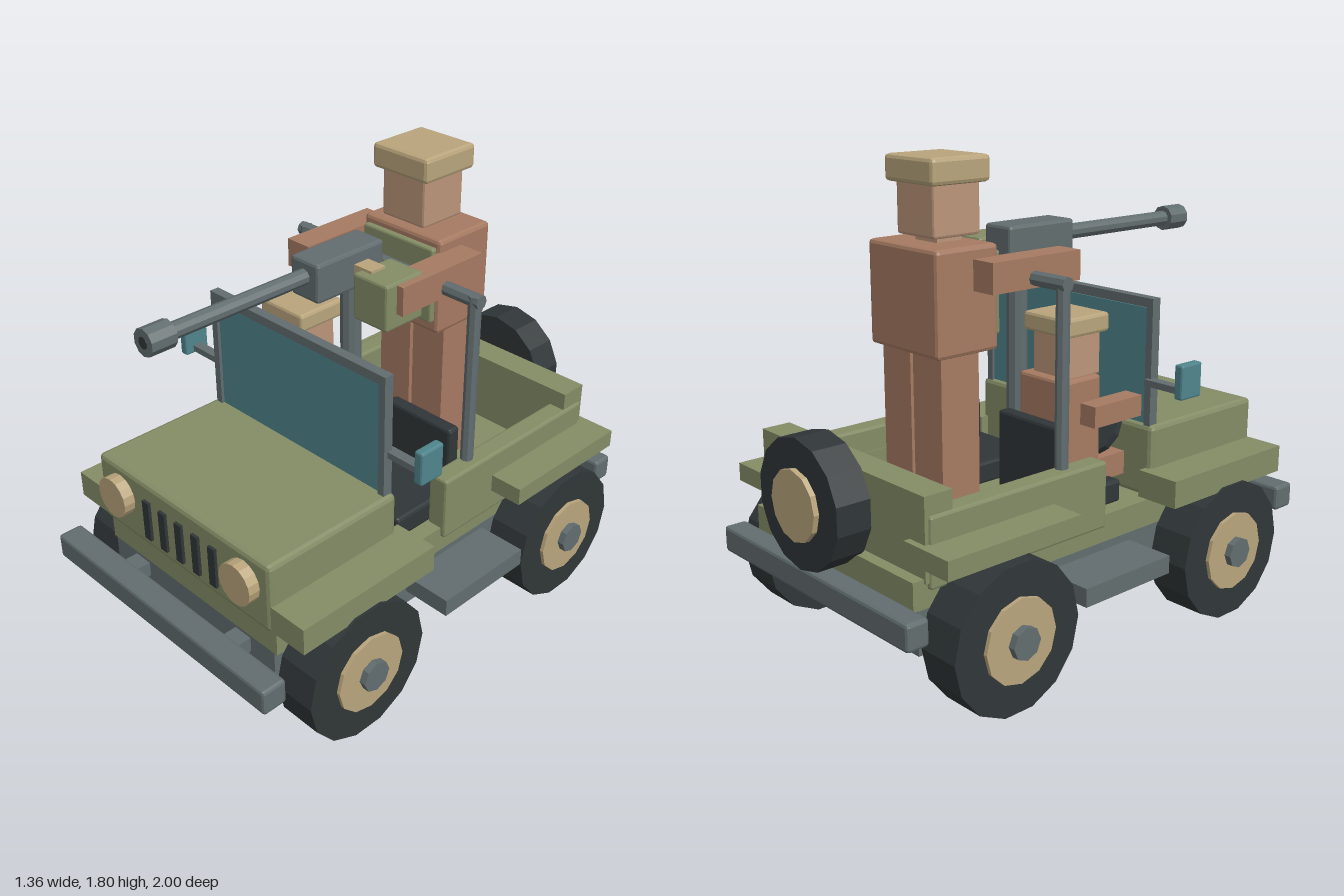
import * as THREE from 'three';
import { RoundedBoxGeometry } from 'three/addons/geometries/RoundedBoxGeometry.js';

const mat = (color) => new THREE.MeshStandardMaterial({ color, flatShading: true });
const green = mat(0x848c66), steel = mat(0x626d6f), black = mat(0x303638), tan = mat(0xb9a57c);
const skin = mat(0xa67a62), face = mat(0xbb957a), glass = mat(0x4f858c);

// Box from its limits on each axis, optionally bevelled
function box(parent, name, material, [x0, x1], [y0, y1], [z0, z1], bevel = 0) {
  const w = x1 - x0, h = y1 - y0, d = z1 - z0;
  const geo = bevel ? new RoundedBoxGeometry(w, h, d, 1, bevel) : new THREE.BoxGeometry(w, h, d);
  const mesh = new THREE.Mesh(geo, material);
  mesh.name = name;
  mesh.position.set((x0 + x1) / 2, (y0 + y1) / 2, (z0 + z1) / 2);
  parent.add(mesh);
  return mesh;
}

// Cylinder of the given length centred at a point along the x, y or z axis
function rod(parent, name, material, radius, length, axis, pos, sides = 12) {
  const mesh = new THREE.Mesh(new THREE.CylinderGeometry(radius, radius, length, sides), material);
  mesh.name = name;
  if (axis === 'x') mesh.rotation.z = -Math.PI / 2;
  if (axis === 'z') mesh.rotation.x = Math.PI / 2;
  mesh.position.set(...pos);
  parent.add(mesh);
  return mesh;
}

// Limits of a span on the +x side, mirrored when s is -1
const side = (s, a, b) => (s > 0 ? [a, b] : [-b, -a]);

function section(parent, name) {
  const g = new THREE.Group();
  g.name = name;
  parent.add(g);
  return g;
}

function buildBody(root) {
  const g = section(root, 'body');
  box(g, 'chassis', steel, [-0.455, 0.455], [0.24, 0.41], [-0.83, 0.83]);
  box(g, 'floor', green, [-0.47, 0.47], [0.41, 0.515], [-0.86, 0.83]);
  box(g, 'hood', green, [-0.475, 0.475], [0.52, 0.8], [0.26, 0.855], 0.018);
  box(g, 'frontBumper', steel, [-0.595, 0.595], [0.335, 0.435], [0.9, 1], 0.012);
  box(g, 'rearBumper', steel, [-0.56, 0.56], [0.33, 0.43], [-0.955, -0.865], 0.012);
  box(g, 'tailgate', green, [-0.48, 0.48], [0.5, 0.8], [-0.815, -0.7]);
  for (const z of [0.865, -0.85]) {
    for (const s of [-1, 1]) box(g, 'bumperBracket', steel, side(s, 0.25, 0.33), [0.34, 0.4], [z - 0.05, z + 0.05]);
  }
  for (const s of [-1, 1]) {
    box(g, 'frontFender', green, side(s, 0.45, 0.63), [0.53, 0.635], [0.225, 0.85]);
    box(g, 'rearSideWall', green, side(s, 0.405, 0.49), [0.475, 0.73], [-0.8, 0.01], 0.01);
    box(g, 'rearFender', green, side(s, 0.4, 0.625), [0.565, 0.635], [-0.84, -0.255]);
    box(g, 'sideStep', steel, side(s, 0.44, 0.655), [0.3, 0.37], [-0.255, 0.175]);
    rod(g, 'headlight', tan, 0.08, 0.09, 'z', [s * 0.345, 0.685, 0.855], 16);
  }
  for (let i = -2; i <= 2; i++) {
    box(g, 'grilleSlot', black, [i * 0.0925 - 0.018, i * 0.0925 + 0.018], [0.565, 0.73], [0.83, 0.867]);
  }
}

function buildWheels(root) {
  for (const s of [-1, 1]) for (const z of [0.56, -0.555]) {
    const g = section(root, 'wheel');
    g.position.set(s * 0.555, 0.277, z);
    rod(g, 'tyre', black, 0.276, 0.17, 'x', [0, 0, 0], 14);
    rod(g, 'rim', tan, 0.155, 0.04, 'x', [s * 0.08, 0, 0], 12);
    rod(g, 'hubCap', steel, 0.06, 0.06, 'x', [s * 0.097, 0, 0], 8);
  }
  const spare = section(root, 'spareWheel');
  spare.position.set(0, 0.68, -0.912);
  rod(spare, 'spareTyre', black, 0.237, 0.135, 'z', [0, 0, 0], 14);
  rod(spare, 'spareRim', tan, 0.13, 0.05, 'z', [0, 0, -0.063], 12);
  rod(spare, 'spareMount', steel, 0.06, 0.08, 'z', [0, 0, 0.08], 8);
}

function buildCabin(root) {
  const g = section(root, 'cabin');
  // Windscreen with frame and side mirrors
  box(g, 'windscreen', glass, [-0.43, 0.43], [0.79, 1.24], [0.28, 0.295]);
  box(g, 'windscreenTopBar', steel, [-0.457, 0.457], [1.245, 1.28], [0.268, 0.307]);
  for (const s of [-1, 1]) {
    box(g, 'windscreenPost', steel, side(s, 0.427, 0.457), [0.78, 1.28], [0.268, 0.307]);
    box(g, 'mirrorArm', steel, side(s, 0.44, 0.62), [0.955, 0.98], [0.25, 0.29]);
    box(g, 'mirror', glass, side(s, 0.61, 0.648), [0.945, 1.075], [0.218, 0.325], 0.008);
    // Seats
    box(g, 'seatCushion', black, side(s, 0.08, 0.405), [0.51, 0.6], [-0.13, 0.175], 0.012);
    box(g, 'seatBack', black, side(s, 0.08, 0.405), [0.56, 0.865], [-0.15, -0.095], 0.012);
    // Roll bar posts
    rod(g, 'rollBarPost', steel, 0.025, 0.92, 'y', [s * 0.433, 0.95, -0.165], 8);
  }
  rod(g, 'rollBarTop', steel, 0.027, 0.92, 'x', [0, 1.39, -0.168], 8);
  const wheel = rod(g, 'steeringWheel', black, 0.115, 0.025, 'y', [-0.24, 0.755, 0.2], 12);
  wheel.rotation.x = -0.9;
  const column = rod(g, 'steeringColumn', steel, 0.02, 0.14, 'y', [-0.24, 0.71, 0.25], 8);
  column.rotation.x = -0.9;
}

function buildGun(root) {
  const g = section(root, 'mountedGun');
  rod(g, 'gunPillar', steel, 0.04, 0.9, 'y', [0, 0.95, 0.018], 10);
  box(g, 'gunBody', steel, [-0.07, 0.07], [1.385, 1.535], [-0.08, 0.245], 0.012);
  rod(g, 'barrel', steel, 0.03, 0.65, 'z', [0, 1.473, 0.54], 10);
  rod(g, 'muzzle', steel, 0.05, 0.1, 'z', [0, 1.473, 0.88], 10);
  rod(g, 'bore', black, 0.022, 0.01, 'z', [0, 1.473, 0.927], 10);
  box(g, 'ammoBox', green, [0.1, 0.265], [1.295, 1.475], [-0.08, 0.105], 0.01);
  box(g, 'ammoBelt', tan, [0.06, 0.155], [1.44, 1.485], [0, 0.07]);
}

function buildGunner(root) {
  const g = section(root, 'gunner');
  box(g, 'torso', skin, [-0.193, 0.193], [1.13, 1.51], [-0.52, -0.28], 0.015);
  box(g, 'chest', skin, [-0.193, 0.193], [1.13, 1.51], [-0.5, -0.245], 0.015);
  box(g, 'vest', green, [-0.175, 0.175], [1.18, 1.48], [-0.275, -0.222], 0.008);
  box(g, 'neck', face, [-0.06, 0.06], [1.49, 1.55], [-0.41, -0.3]);
  box(g, 'head', face, [-0.105, 0.105], [1.53, 1.725], [-0.457, -0.25], 0.01);
  box(g, 'cap', tan, [-0.135, 0.135], [1.713, 1.808], [-0.485, -0.225], 0.015);
  for (const s of [-1, 1]) {
    box(g, 'leg', skin, side(s, 0.008, 0.165), [0.51, 1.14], [-0.485, -0.315]);
    box(g, 'arm', skin, side(s, 0.185, 0.295), [1.355, 1.465], [-0.36, 0.055]);
  }
}

function buildDriver(root) {
  const g = section(root, 'driver');
  g.position.x = -0.24;
  box(g, 'torso', skin, [-0.12, 0.12], [0.6, 1.01], [-0.08, 0.105], 0.012);
  box(g, 'head', face, [-0.09, 0.09], [1, 1.17], [-0.04, 0.13], 0.01);
  box(g, 'cap', tan, [-0.115, 0.115], [1.163, 1.235], [-0.065, 0.15], 0.012);
  for (const s of [-1, 1]) {
    box(g, 'arm', skin, side(s, 0.115, 0.195), [0.84, 0.92], [0, 0.245]);
    box(g, 'thigh', skin, side(s, 0.01, 0.11), [0.59, 0.68], [0.05, 0.25]);
  }
}

export function createModel() {
  const root = new THREE.Group();
  root.name = 'openTruck';
  [buildBody, buildWheels, buildCabin, buildGun, buildGunner, buildDriver].forEach((build) => build(root));
  return root;
}
